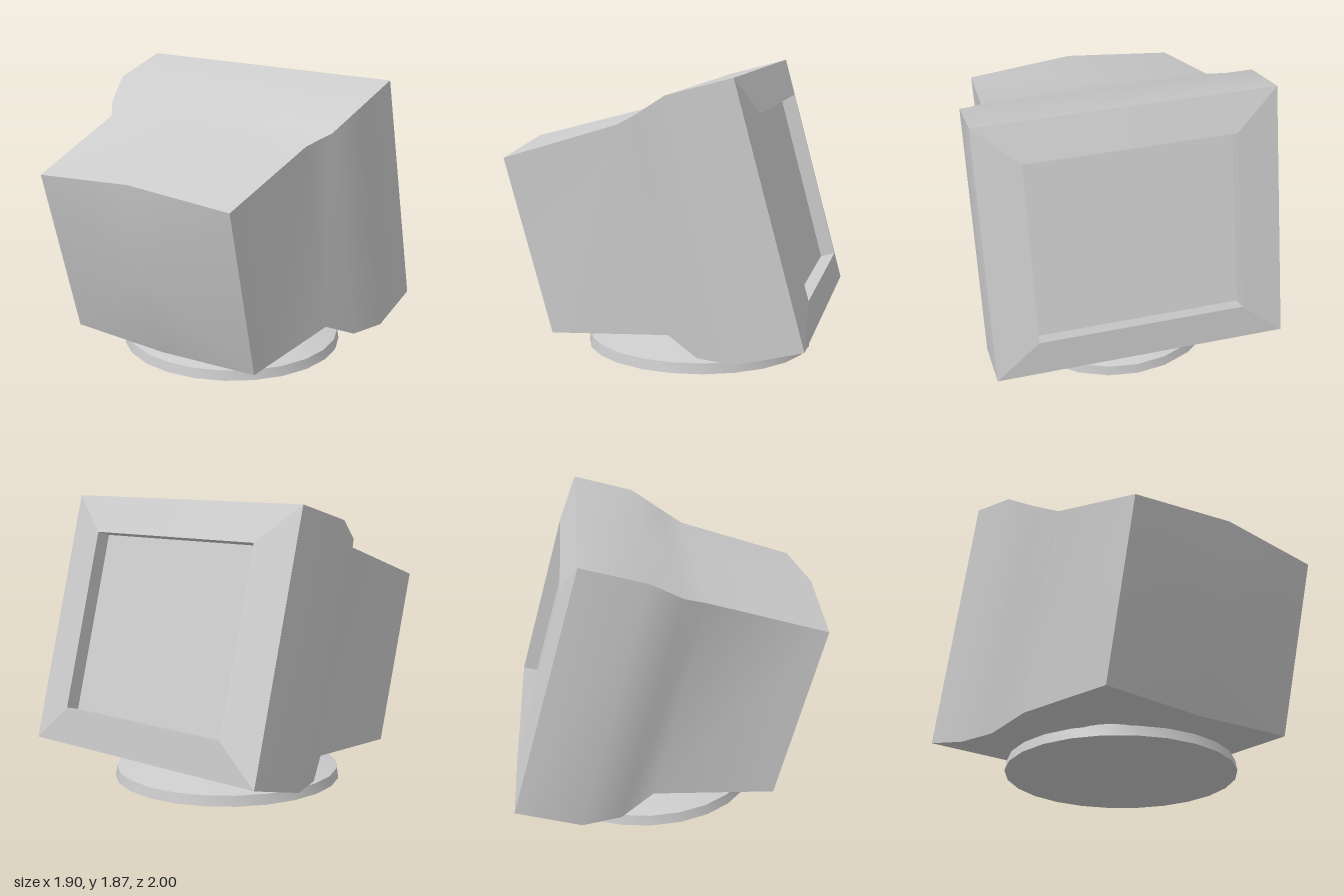
import * as THREE from 'three';
import { toCreasedNormals } from 'three/addons/utils/BufferGeometryUtils.js';

const material = new THREE.MeshStandardMaterial({ color: 0xcccccc });

// Six-point tilted section: top and bottom edges as [z, y], half widths, optional crowned middles
function section(top, bottom, wTop, wBottom = wTop, topMid = top, bottomMid = bottom) {
  const p = (x, [z, y]) => new THREE.Vector3(x, y, z);
  return [p(wTop, top), p(0, topMid), p(-wTop, top),
    p(-wBottom, bottom), p(0, bottomMid), p(wBottom, bottom)];
}

// Skins consecutive sections (ordered towards +z); optional fan caps at either end
function skin(name, sections, crease, { backCap, frontCap } = {}) {
  const pos = [];
  const tri = (...pts) => pts.forEach((p) => pos.push(p.x, p.y, p.z));
  const n = 6;
  for (let i = 0; i + 1 < sections.length; i++) {
    const a = sections[i], b = sections[i + 1];
    for (let j = 0; j < n; j++) {
      const k = (j + 1) % n;
      tri(b[j], a[j], a[k]);
      tri(b[j], a[k], b[k]);
    }
  }
  for (let j = 0; j < n; j++) {
    const k = (j + 1) % n;
    if (backCap) tri(backCap, sections[0][k], sections[0][j]);
    if (frontCap) {
      const last = sections[sections.length - 1];
      tri(frontCap, last[j], last[k]);
    }
  }
  const geometry = new THREE.BufferGeometry();
  geometry.setAttribute('position', new THREE.Float32BufferAttribute(pos, 3));
  const mesh = new THREE.Mesh(toCreasedNormals(geometry, crease), material);
  mesh.name = name;
  return mesh;
}

export function createModel() {
  const group = new THREE.Group();
  group.name = 'monitor';

  const glass = section([-0.575, 1.614], [-0.885, 0.474], 0.67);
  const opening = section([-0.67, 1.64], [-0.98, 0.5], 0.67);
  const rim = section([-0.56, 1.87], [-1.0, 0.26], 0.95);

  // Housing: deep rim, curved shoulder, narrower tube cover with a domed end
  const housing = skin('housing', [
    rim,
    section([-0.15, 1.76], [-0.58, 0.15], 0.95),
    section([0.06, 1.63], [-0.33, 0.15], 0.875),
    section([0.2, 1.56], [-0.12, 0.25], 0.772, 0.772, [0.23, 1.585], [-0.13, 0.245]),
    section([0.97, 1.322], [0.67, 0.19], 0.725, 0.71, [1.0, 1.38], [0.67, 0.163]),
  ], 0.55, { frontCap: new THREE.Vector3(0, 0.745, 0.905) });

  // Bezel frame, recess walls and screen
  const bezel = skin('bezel', [opening, rim], 0.1);
  const recess = skin('screenRecess', [glass, opening], 0.1);
  const screen = skin('screen', [glass], 0.1, { backCap: new THREE.Vector3(0, 1.044, -0.73) });

  // Round swivel foot with a neck reaching into the housing
  const profile = [[0, 0], [0.76, 0], [0.748, 0.067], [0.49, 0.125], [0.385, 0.142], [0.345, 0.195], [0.335, 0.27], [0, 0.27]]
    .map(([r, y]) => new THREE.Vector2(r, y));
  const foot = new THREE.Mesh(toCreasedNormals(new THREE.LatheGeometry(profile, 24), 0.5), material);
  foot.name = 'swivelFoot';
  foot.position.z = -0.14;

  group.add(housing, bezel, recess, screen, foot);
  return group;
}
